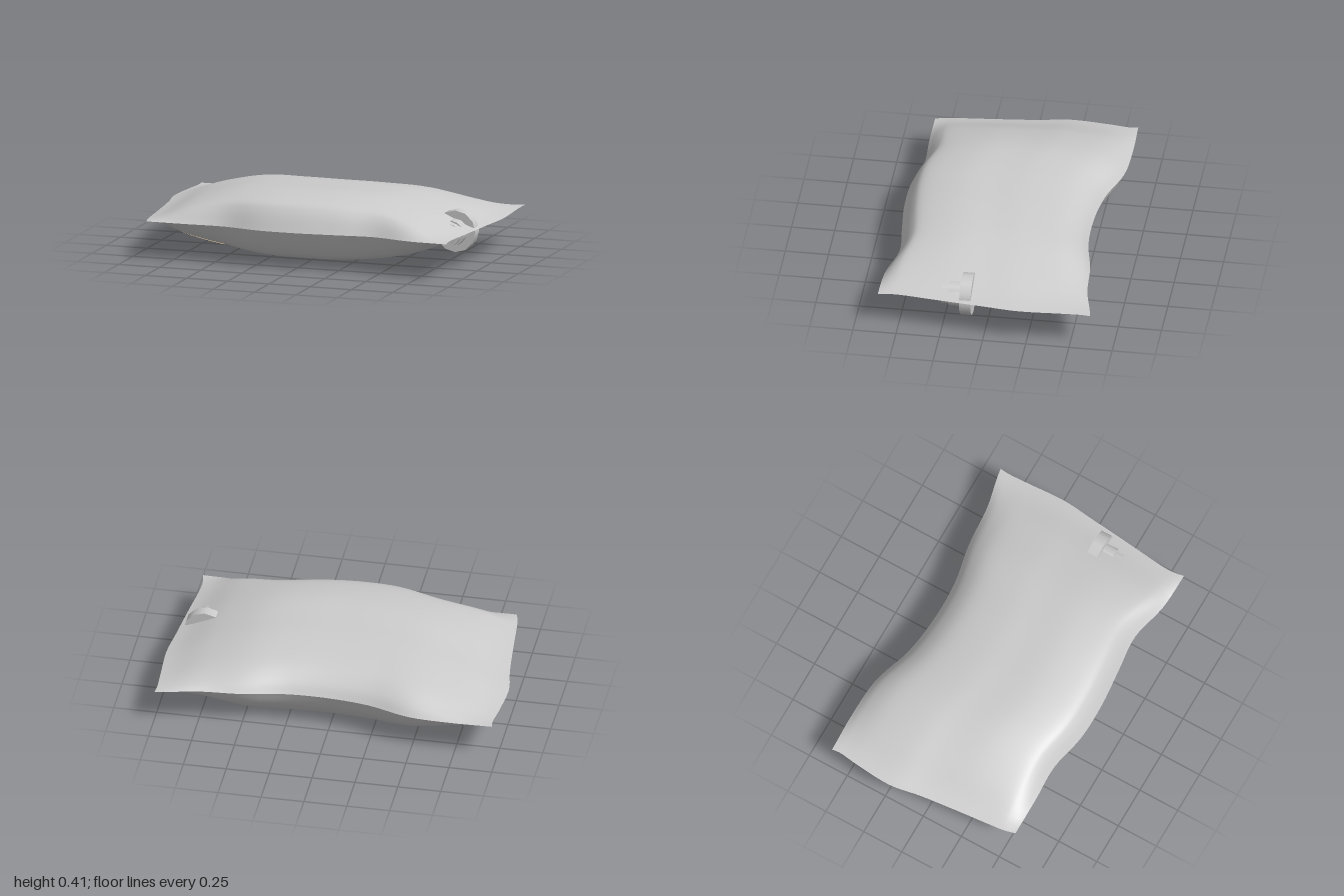
import * as THREE from 'three';

// Smooth interpolation through a list of values, t from 0 to 1
function sample(list, t) {
  const n = list.length - 1;
  const i = Math.min(Math.floor(t * n), n - 1), f = t * n - i;
  const at = (k) => list[Math.max(0, Math.min(n, k))];
  const a = at(i - 1), b = at(i), c = at(i + 1), d = at(i + 2);
  return b + 0.5 * f * (c - a + f * (2 * a - 5 * b + 4 * c - d + f * (3 * (b - c) + d - a)));
}

// Wavy outline of the pillow, evenly spaced across x
const backZ = [-0.615, -0.62, -0.605, -0.53, -0.5, -0.505, -0.55, -0.57, -0.62];
const frontZ = [0.55, 0.55, 0.545, 0.59, 0.595, 0.575, 0.555, 0.605, 0.615];
// Rows from back to front and the side edges at each row
const rows = [-1, -0.9, -0.7, -0.33, 0, 0.4, 0.77, 0.9, 1];
const sideNegX = [-0.975, -0.97, -0.985, -1, -0.97, -0.945, -0.925, -0.915, -0.9];
const sidePosX = [0.99, 0.985, 0.99, 1, 0.98, 0.955, 0.93, 0.93, 0.94];
// Puffiness across x and from back to front
const SEAM = 0.222;
const top = {
  height: 0.192,
  across: [0, 0.5, 0.84, 0.97, 1, 0.98, 0.85, 0.5, 0],
  along: [0, 0.36, 0.7, 0.9, 0.96, 1, 0.84, 0.56, 0],
};
const bottom = {
  height: -0.22,
  across: [0, 0.5, 0.8, 0.97, 1, 1, 0.88, 0.55, 0],
  along: [0, 0.5, 0.92, 0.99, 0.94, 0.88, 0.75, 0.5, 0],
};

function surfacePoint(side, s, t, lift = 0) {
  const v = (sample(rows, t) + 1) / 2;
  return [
    THREE.MathUtils.lerp(sample(sideNegX, t), sample(sidePosX, t), s),
    SEAM + side.height * sample(side.across, s) * sample(side.along, t) + lift,
    THREE.MathUtils.lerp(sample(backZ, s), sample(frontZ, s), v),
  ];
}

// Grid over part of one side of the pillow
function sheet(side, n, s0 = 0, s1 = 1, t0 = 0, t1 = 1, lift = 0) {
  const pos = [], index = [];
  for (let j = 0; j <= n; j++) {
    for (let i = 0; i <= n; i++) {
      pos.push(...surfacePoint(side, s0 + (s1 - s0) * i / n, t0 + (t1 - t0) * j / n, lift));
      if (i === n || j === n) continue;
      const a = j * (n + 1) + i, b = a + 1, c = a + n + 1, d = c + 1;
      if (side.height > 0) index.push(a, c, b, b, c, d);
      else index.push(a, b, c, b, d, c);
    }
  }
  const geo = new THREE.BufferGeometry();
  geo.setAttribute('position', new THREE.Float32BufferAttribute(pos, 3));
  geo.setIndex(index);
  geo.computeVertexNormals();
  return geo;
}

export function createModel() {
  const model = new THREE.Group();
  const grey = new THREE.MeshStandardMaterial({ color: 0xcccccc, side: THREE.DoubleSide });
  const tan = new THREE.MeshStandardMaterial({ color: 0xccb08c, side: THREE.DoubleSide });
  const add = (parent, name, geo, mat) => {
    const mesh = new THREE.Mesh(geo, mat);
    mesh.name = name;
    parent.add(mesh);
    return mesh;
  };

  // Pillow halves meeting at the seam
  const pillow = new THREE.Group();
  pillow.name = 'pillow';
  model.add(pillow);
  add(pillow, 'pillowTop', sheet(top, 40), grey);
  add(pillow, 'pillowBottom', sheet(bottom, 40), grey);

  // Tinted patch under the front corner
  add(model, 'cornerPatch', sheet(bottom, 14, 0.06, 0.24, 0.54, 0.76, -0.003), tan);

  // Stepped knob pushed through the pillow: radius, back z, front z
  const knob = new THREE.Group();
  knob.name = 'knob';
  knob.position.set(0.83, 0.202, 0);
  model.add(knob);
  const steps = [
    ['knobDisc', 0.122, 0.077, 0.143],
    ['knobCollar', 0.075, 0.143, 0.213],
    ['knobStem', 0.065, 0.213, 0.257],
    ['knobNeck', 0.022, 0.257, 0.277],
    ['knobTip', 0.049, 0.277, 0.293],
  ];
  for (const [name, r, z0, z1] of steps) {
    const geo = new THREE.CylinderGeometry(r, r, z1 - z0, 12).rotateX(Math.PI / 2);
    add(knob, name, geo, grey).position.z = (z0 + z1) / 2;
  }
  return model;
}
